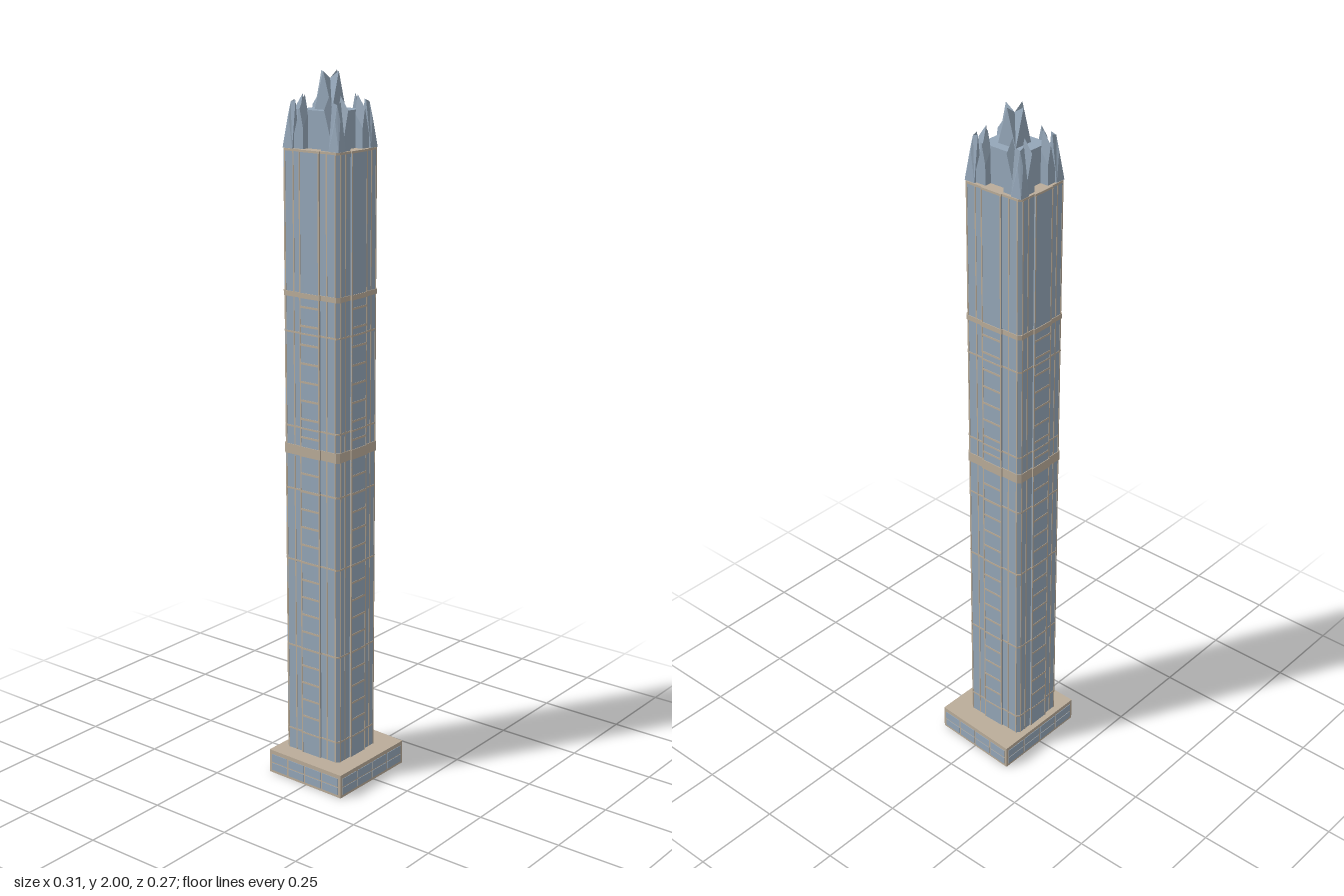
import * as THREE from 'three';
import { mergeGeometries } from 'three/addons/utils/BufferGeometryUtils.js';
import { ConvexGeometry } from 'three/addons/geometries/ConvexGeometry.js';

const W = 0.0905, D = 0.099, BAY = 0.034;   // tower half width, half depth, half bay
const CX = -0.0095, CZ = -0.019;            // tower axis
const BASE_H = 0.07, TOP = 1.8;

// Tower floor plan with projecting bays and chamfered corners, grown by e
function planSlab(e, y, height) {
  const w = W + e, d = D + e, b = BAY + e, s = 0.004, c = 0.008;
  const quarter = [[b, d], [b, d - s], [w - s - c, d - s], [w - s, d - s - c], [w - s, b], [w, b]];
  const pts = [];
  for (const [sx, sy] of [[1, 1], [1, -1], [-1, -1], [-1, 1]]) {
    const q = quarter.map(([x, z]) => new THREE.Vector2(x * sx, z * sy));
    pts.push(...(sx * sy > 0 ? q : q.reverse()));
  }
  const geo = new THREE.ExtrudeGeometry(new THREE.Shape(pts), { depth: height, bevelEnabled: false });
  return geo.rotateX(-Math.PI / 2).translate(0, y, 0);
}

const box = (w, h, d, x, y, z) => new THREE.BoxGeometry(w, h, d).translate(x, y, z);
const hull = (pts) => new ConvexGeometry(pts.map((p) => new THREE.Vector3(...p)));

// Runs fn(halfWidth, distance) for each tower side, turning its boxes into place
function onSides(fn) {
  const out = [];
  for (let k = 0; k < 4; k++) {
    const [half, dist] = k % 2 ? [D, W] : [W, D];
    for (const g of fn(half, dist)) out.push(g.rotateY(k * Math.PI / 2));
  }
  return mergeGeometries(out);
}

// Crossed gables on a rectangle; apex(sx, sz) gives [inset, height] for each side
function crossGable(cx, cz, hx, hz, y0, centreY, apex) {
  const wedges = [];
  for (const [sx, sz] of [[1, 0], [-1, 0], [0, 1], [0, -1]]) {
    const [inset, h] = apex(sx, sz);
    const tx = sz, tz = sx;
    wedges.push(hull([
      [cx + (sx + tx) * hx, y0, cz + (sz + tz) * hz],
      [cx + (sx - tx) * hx, y0, cz + (sz - tz) * hz],
      [cx + sx * (hx - inset), h, cz + sz * (hz - inset)],
      [cx, centreY, cz], [cx, y0, cz],
    ]));
  }
  return mergeGeometries(wedges);
}

export function createModel() {
  const model = new THREE.Group();
  const stone = new THREE.MeshStandardMaterial({ name: 'beigeStone', color: 0xbaac99, side: THREE.DoubleSide });
  const glass = new THREE.MeshStandardMaterial({ name: 'blueGlass', color: 0x94a6b8 });
  const add = (parent, name, geo, mat) => {
    const m = new THREE.Mesh(geo, mat);
    m.name = name;
    parent.add(m);
  };

  // Podium: a skewed shell, open underneath, with a window grid on each wall
  const corners = [[-0.147, -0.136], [-0.153, 0.129], [0.135, 0.133], [0.152, -0.133]];
  const pos = [];
  const quad = (a, b, c, d) => pos.push(...a, ...b, ...c, ...a, ...c, ...d);
  const panes = [];
  corners.forEach(([ax, az], i) => {
    const [bx, bz] = corners[(i + 1) % 4];
    quad([ax, 0, az], [bx, 0, bz], [bx, BASE_H, bz], [ax, BASE_H, az]);
    const len = Math.hypot(bx - ax, bz - az), cell = (len - 0.012) / 4;
    for (let c = 0; c < 4; c++) {
      for (const [y, h] of [[0.019, 0.022], [0.046, 0.024]]) {
        panes.push(box(cell - 0.006, h, 0.002, (c - 1.5) * cell, y, 0.0005)
          .rotateY(Math.atan2(az - bz, bx - ax))
          .translate((ax + bx) / 2, 0, (az + bz) / 2));
      }
    }
  });
  quad(...corners.map(([x, z]) => [x, BASE_H, z]));
  const shell = new THREE.BufferGeometry();
  shell.setAttribute('position', new THREE.Float32BufferAttribute(pos, 3));
  shell.computeVertexNormals();
  add(model, 'podium', shell, stone);
  add(model, 'podiumWindows', mergeGeometries(panes), glass);

  const tower = new THREE.Group();
  tower.name = 'tower';
  tower.position.set(CX, 0, CZ);
  model.add(tower);

  // Shaft, ledge and the main belt courses
  add(tower, 'shaft', planSlab(0, BASE_H, TOP - 0.006 - BASE_H), glass);
  add(tower, 'roofLedge', planSlab(0.0005, TOP - 0.006, 0.006), stone);
  add(tower, 'beltCourses', mergeGeometries([
    planSlab(0.002, 0.962, 0.028), planSlab(0.002, 1.405, 0.014),
  ]), stone);

  // Thin floor lines right round the shaft
  add(tower, 'floorLines', mergeGeometries(
    [0.13, 0.39, 0.65, 0.86, 1.04, 1.305].map((y) => planSlab(0.001, y, 0.005))), stone);

  // Upright mullions
  add(tower, 'mullions', onSides((half, dist) => {
    const h = TOP - BASE_H - 0.006, y = BASE_H + h / 2, out = [];
    for (const s of [-1, 1]) {
      out.push(box(0.004, h, 0.004, s * (BAY - 0.002), y, dist - 0.001));
      out.push(box(0.004, h, 0.004, s * 0.056, y, dist - 0.005));
      out.push(box(0.004, h, 0.004, s * (half - 0.014), y, dist - 0.005));
    }
    return out;
  }), stone);

  // Spandrel bars climbing each bay
  add(tower, 'bayBars', onSides((half, dist) => {
    const out = [];
    for (let y = 0.185; y < 1.4; y += 0.052) out.push(box(2 * BAY - 0.008, 0.006, 0.002, 0, y, dist));
    return out;
  }), stone);

  // Crown block and its central spire
  add(tower, 'crownBlock', box(0.113, 0.1, 0.128, 0, TOP + 0.05, 0), glass);
  add(tower, 'centralSpire', crossGable(0, 0, 0.029, 0.029, 1.9, 1.98, () => [0, 2]), glass);

  // Corner spires, each flanked by two lean-to gables
  for (const sx of [-1, 1]) {
    for (const sz of [-1, 1]) {
      add(tower, 'cornerSpire', crossGable(sx * 0.069, sz * 0.0775, 0.015, 0.0165, TOP, 1.92,
        (dx, dz) => (dx * sx + dz * sz > 0 ? [0.006, 1.88] : [0, 1.925])), glass);
      // u runs along the wall, v points outward
      const flank = (map) => {
        const pts = [];
        for (const [v, drop] of [[0, 0], [1, 0.035]]) {
          pts.push(map(0, v, TOP), map(1, v, TOP), map(0, v, 1.87 - drop),
            map(1, v, 1.89 - drop), map(0.65, v, 1.94 - drop));
        }
        return hull(pts);
      };
      add(tower, 'flankGable', flank((u, v, y) => [sx * (0.054 - 0.028 * u), y, sz * (0.063 + 0.025 * v)]), glass);
      add(tower, 'flankGable', flank((u, v, y) => [sx * (0.055 + 0.022 * v), y, sz * (0.061 - 0.031 * u)]), glass);
    }
  }
  return model;
}
